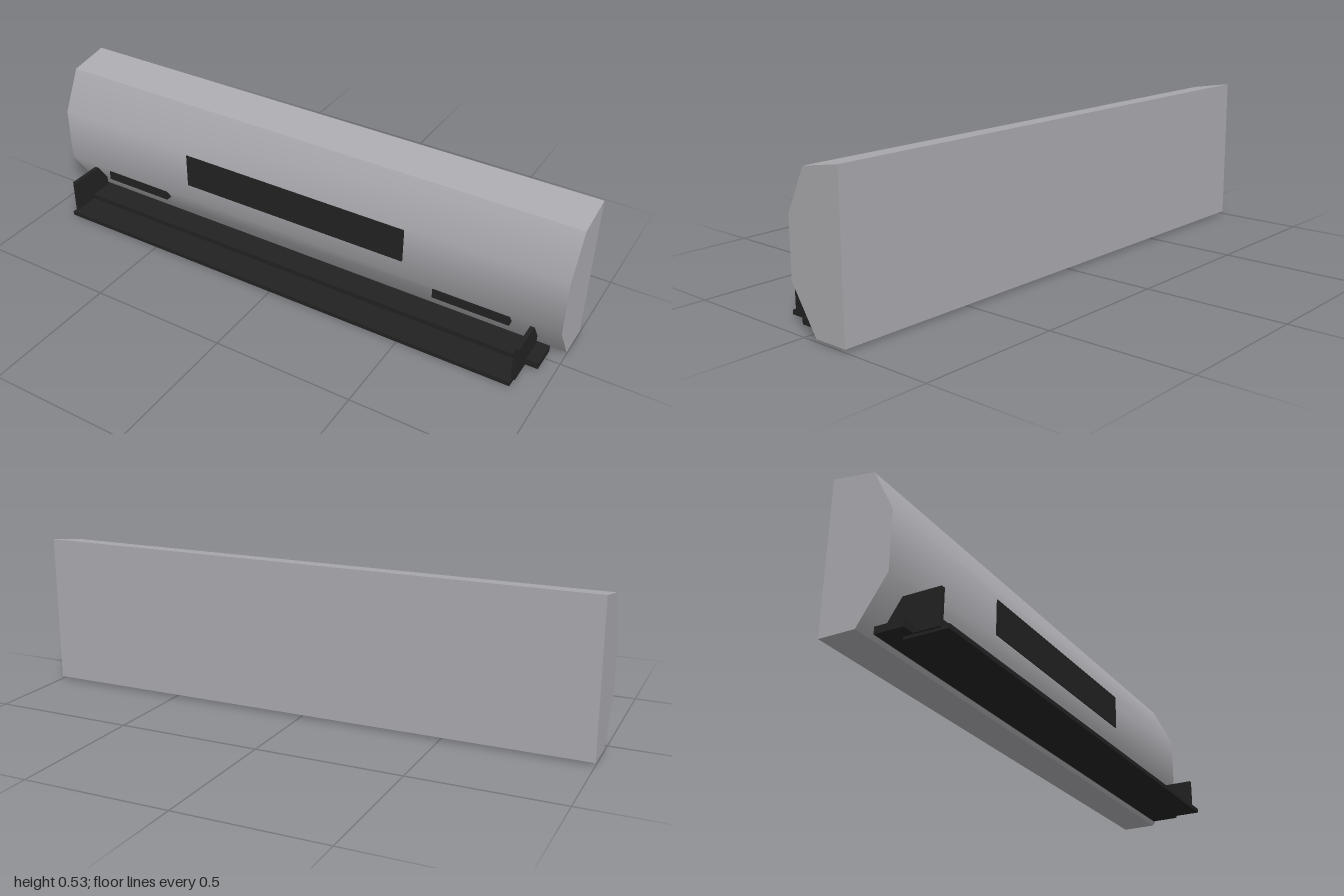
import * as THREE from 'three';
import { toCreasedNormals } from 'three/addons/utils/BufferGeometryUtils.js';

export function createModel() {
  const group = new THREE.Group();
  const silver = new THREE.MeshStandardMaterial({ color: 0xacabb0 });
  silver.name = 'silver paint';
  const black = new THREE.MeshStandardMaterial({ color: 0x222222 });
  black.name = 'black trim';

  // Box given by its [min, max] along each axis
  const box = (name, [x0, x1], [y0, y1], [z0, z1]) => {
    const mesh = new THREE.Mesh(new THREE.BoxGeometry(x1 - x0, y1 - y0, z1 - z0), black);
    mesh.position.set((x0 + x1) / 2, (y0 + y1) / 2, (z0 + z1) / 2);
    mesh.name = name;
    group.add(mesh);
  };

  // Bumper body: side profile (z, y) swept across the width, front softly shaded
  const profile = [
    [-0.18, 0.009], [-0.055, 0.009], [0.045, 0.16],
    [0.045, 0.36], [-0.03, 0.509], [-0.18, 0.534],
  ].map(([z, y]) => new THREE.Vector2(z, y));
  const bodyGeometry = new THREE.ExtrudeGeometry(new THREE.Shape(profile), { depth: 2, bevelEnabled: false });
  bodyGeometry.rotateY(-Math.PI / 2).translate(1, 0, 0);
  const body = new THREE.Mesh(toCreasedNormals(bodyGeometry, 0.7), silver);
  body.name = 'bumperBody';
  group.add(body);

  // Central grille
  box('grille', [-0.438, 0.438], [0.221, 0.347], [0.039, 0.048]);

  // Lower lip and splitter blade
  box('lowerLip', [-0.95, 0.95], [0.009, 0.033], [-0.03, 0.07]);
  box('splitter', [-0.9, 0.9], [0, 0.015], [0.032, 0.182]);

  // Mirrored side vents and splitter end plates
  for (const s of [-1, 1]) {
    const span = (a, b) => (s > 0 ? [a, b] : [-b, -a]);
    const side = s > 0 ? 'left' : 'right';
    box(side + 'Vent', span(0.55, 0.825), [0.11, 0.146], [0.012, 0.037]);
    box(side + 'EndPlate', span(0.892, 0.907), [0.009, 0.133], [-0.018, 0.157]);
  }
  return group;
}
